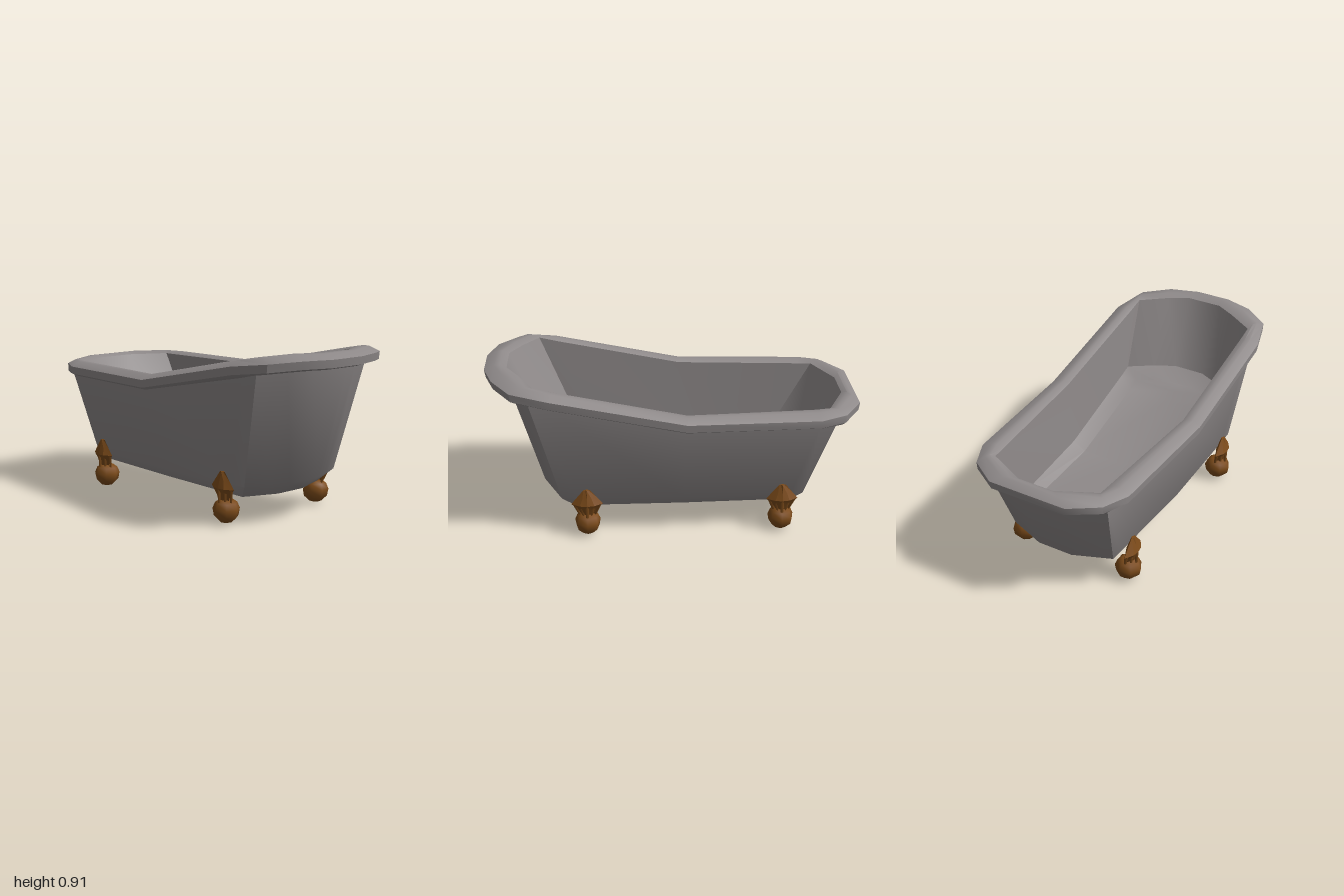
import * as THREE from 'three';
import { toCreasedNormals } from 'three/addons/utils/BufferGeometryUtils.js';

const enamel = new THREE.MeshStandardMaterial({ color: 0x8f8a8a });
enamel.name = 'greyEnamel';
const bronze = new THREE.MeshStandardMaterial({ color: 0x7c4b1a });
bronze.name = 'bronze';

// Skin closed rings of Vector3 together; faces point outward when rings run from inside over the rim and down
function loft(rings, crease) {
  const pos = [];
  const tri = (a, b, c) => {
    if (new THREE.Triangle(a, b, c).getArea() < 1e-7) return;
    for (const p of [a, b, c]) pos.push(p.x, p.y, p.z);
  };
  for (let r = 0; r < rings.length - 1; r++) {
    const a = rings[r], b = rings[r + 1], n = a.length;
    for (let i = 0; i < n; i++) {
      const j = (i + 1) % n;
      tri(a[i], b[i], b[j]);
      tri(a[i], b[j], a[j]);
    }
  }
  const g = new THREE.BufferGeometry();
  g.setAttribute('position', new THREE.Float32BufferAttribute(pos, 3));
  return toCreasedNormals(g, crease);
}

// Blend two [x, z] points, or two half outlines of them
const between = (p, q, t) => [p[0] + (q[0] - p[0]) * t, p[1] + (q[1] - p[1]) * t];
const mix = (a, b, t) => a.map((p, i) => between(p, b[i], t));

// Five key points of a half outline (end, corner, middle, corner, end) widened to eight
const expand = ([a, b, m, c, d]) => [
  a, b, between(b, m, 0.1), m, between(m, c, 0.87), c, between(c, d, 0.55), d,
];

// Mirror a half outline across z and lift it to its heights
function ring(half, heights) {
  const front = half.map(([x, z], i) => new THREE.Vector3(x, heights[i], z));
  const back = front.map((p) => new THREE.Vector3(p.x, p.y, -p.z)).reverse();
  return [...front, ...back];
}

function part(name, geometry, material) {
  const m = new THREE.Mesh(geometry, material);
  m.name = name;
  return m;
}

function clawFoot() {
  const foot = new THREE.Group();
  // Faceted ball
  const profile = [[0, 0.003], [0.034, 0.012], [0.064, 0.042], [0.071, 0.08], [0.058, 0.112], [0.034, 0.13], [0, 0.134]];
  const ballShape = new THREE.LatheGeometry(profile.map(([x, y]) => new THREE.Vector2(x, y)), 7);
  const ball = part('footBall', ballShape, bronze);
  ball.scale.z = 1.04;
  ball.position.z = 0.327;
  foot.add(ball);
  // Leaf-shaped bracket: [y, half width, back z, front z]
  const rows = [
    [0.28, 0.018, 0.345, 0.362],
    [0.235, 0.054, 0.33, 0.374],
    [0.195, 0.086, 0.315, 0.386],
    [0.17, 0.058, 0.315, 0.376],
    [0.125, 0.03, 0.315, 0.36],
  ].map(([y, w, zb, zf]) => {
    const zm = (zb + zf) / 2;
    return [[-w, zm], [-w * 0.45, zf - 0.006], [0, zf], [w * 0.45, zf - 0.006], [w, zm], [0, zb]]
      .map(([x, z]) => new THREE.Vector3(x, y, z));
  });
  const cap = (r) => r.map(() => new THREE.Vector3(0, r[0].y, r[2].z - 0.012));
  foot.add(part('footBracket', loft([cap(rows[0]), ...rows, cap(rows[4])], 0.2), bronze));
  // Claws reaching from the bracket onto the ball
  for (let i = -2; i <= 2; i++) {
    const top = new THREE.Vector3(i * 0.034, 0.198, 0.376 - Math.abs(i) * 0.012);
    const tip = new THREE.Vector3(i * 0.02, 0.12, 0.374 - Math.abs(i) * 0.022);
    const claw = part('footClaw', new THREE.CylinderGeometry(0.011, 0.008, top.distanceTo(tip), 4), bronze);
    claw.position.copy(top).add(tip).multiplyScalar(0.5);
    claw.quaternion.setFromUnitVectors(new THREE.Vector3(0, 1, 0), top.clone().sub(tip).normalize());
    foot.add(claw);
  }
  return foot;
}

export function createModel() {
  const model = new THREE.Group();
  model.name = 'clawfootBathtub';

  // Rim height along the half outline, rising to the high end
  const rimY = [0.72, 0.72, 0.72, 0.725, 0.872, 0.897, 0.91, 0.91];
  const drop = (d) => rimY.map((y) => y - d);
  const wallTopY = [0.645, 0.645, 0.645, 0.648, 0.785, 0.81, 0.815, 0.82];
  const wallLowY = [0.2, 0.2, 0.2, 0.205, 0.215, 0.217, 0.218, 0.22];
  const baseY = rimY.map(() => 0.145);

  // Half outlines, low end to high end
  const rimOuter = [[-1, 0.22], [-0.9, 0.37], [-0.76, 0.435], [-0.06, 0.46], [0.65, 0.457], [0.85, 0.4], [0.95, 0.26], [1, 0.1]];
  const rimInner = expand([[-0.92, 0.1], [-0.82, 0.31], [-0.06, 0.36], [0.73, 0.355], [0.88, 0.1]]);
  const wallTop = expand([[-0.93, 0.12], [-0.85, 0.365], [-0.05, 0.402], [0.76, 0.388], [0.88, 0.12]]);
  const wallLow = expand([[-0.78, 0.1], [-0.7, 0.305], [-0.05, 0.335], [0.61, 0.325], [0.71, 0.1]]);
  const base = expand([[-0.71, 0.09], [-0.64, 0.27], [-0.05, 0.28], [0.54, 0.275], [0.61, 0.09]]);
  const basinLow = expand([[-0.71, 0.08], [-0.61, 0.31], [-0.05, 0.342], [0.58, 0.348], [0.71, 0.09]]);
  const floor = expand([[-0.61, 0.08], [-0.55, 0.265], [-0.05, 0.27], [0.53, 0.26], [0.6, 0.075]]);
  const spine = (half) => half.map(([x]) => [x, 0]);

  // Inside of the tub, its floor following the slope of the rim
  model.add(part('basin', loft([
    ring(spine(floor), drop(0.44)), ring(floor, drop(0.44)),
    ring(basinLow, drop(0.395)), ring(rimInner, drop(0.015)),
  ], 0.6), enamel));

  // Rolled rim
  model.add(part('rim', loft([
    ring(rimInner, drop(0.015)),
    ring(mix(rimInner, rimOuter, 0.3), rimY),
    ring(mix(rimInner, rimOuter, 0.55), drop(0.002)),
    ring(rimOuter, drop(0.026)),
    ring(mix(rimOuter, wallTop, 0.06), drop(0.068)),
    ring(mix(rimOuter, wallTop, 0.4), drop(0.08)),
    ring(wallTop, wallTopY),
  ], 0.65), enamel));

  // Outer shell and underside
  model.add(part('outerShell', loft([
    ring(wallTop, wallTopY), ring(wallLow, wallLowY), ring(base, baseY),
  ], 0.85), enamel));
  model.add(part('underside', loft([ring(base, baseY), ring(spine(base), baseY)], 0.5), enamel));

  // Four claw feet
  for (const [end, x] of [['low', -0.58], ['high', 0.475]]) {
    for (const [side, turn] of [['Front', 0], ['Back', Math.PI]]) {
      const foot = clawFoot();
      foot.name = `${end}End${side}Foot`;
      foot.position.x = x;
      foot.rotation.y = turn;
      model.add(foot);
    }
  }
  return model;
}
